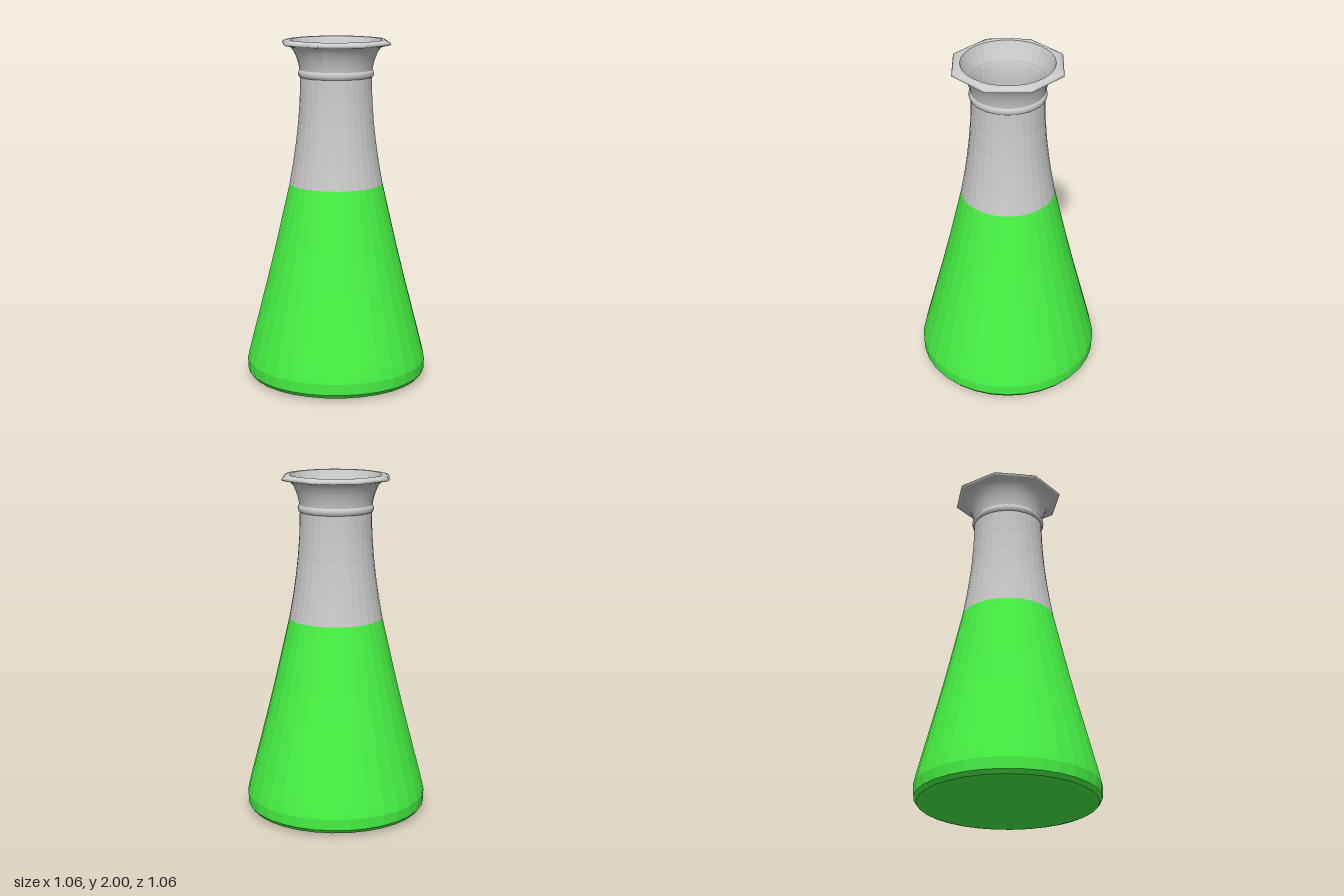
import * as THREE from 'three';

const SIDES = 32;
const grey = { color: 0xcccccc };

// Spins a profile of [radius, height] points round the y axis
function lathe(name, profile, options) {
  const geometry = new THREE.LatheGeometry(profile.map(([r, y]) => new THREE.Vector2(r, y)), SIDES);
  const mesh = new THREE.Mesh(geometry, new THREE.MeshStandardMaterial(options));
  mesh.name = name;
  return mesh;
}

// Pulls the outer rim of the lip into an octagon with corners on the axes
function makeOctagonal(geometry, inner, outer) {
  const pos = geometry.attributes.position;
  const eighth = Math.PI / 4;
  for (let i = 0; i < pos.count; i++) {
    const x = pos.getX(i), z = pos.getZ(i);
    const r = Math.hypot(x, z);
    if (r <= inner) continue;
    const angle = Math.atan2(x, z) + 2 * Math.PI + 1e-6;
    const shape = Math.cos(eighth / 2) / Math.cos((angle % eighth) - eighth / 2);
    const t = Math.min(1, (r - inner) / (outer - inner));
    const scale = 1 + (shape - 1) * t;
    pos.setX(i, x * scale);
    pos.setZ(i, z * scale);
  }
  geometry.computeVertexNormals();
}

export function createModel() {
  const flask = new THREE.Group();
  flask.name = 'flask';

  // Green conical body, closed by the flat liquid surface
  flask.add(lathe('liquidBody', [
    [0, 0.005], [0.34, 0.007], [0.48, 0.014], [0.508, 0.022], [0.526, 0.045],
    [0.529, 0.11], [0.518, 0.16], [0.503, 0.22], [0.405, 0.6], [0.356, 0.8],
    [0.31, 1.0], [0.272, 1.165], [0, 1.165],
  ], { color: 0x48f545, flatShading: true }));

  // Clear neck above the liquid
  const neck = [
    [0.272, 1.165], [0.25, 1.29], [0.234, 1.4], [0.22, 1.52],
    [0.211, 1.64], [0.208, 1.72], [0.207, 1.79],
  ];
  flask.add(lathe('neck', neck, { ...grey, flatShading: true }));

  // Rounded bead at the top of the neck
  flask.add(lathe('neckBead', [
    [0.207, 1.785], [0.214, 1.79], [0.219, 1.805], [0.216, 1.82], [0.207, 1.83],
  ], grey));

  // Flared mouth with a thin octagonal lip
  const mouth = lathe('mouthLip', [
    [0.207, 1.79], [0.21, 1.83], [0.217, 1.865], [0.228, 1.9], [0.243, 1.935],
    [0.262, 1.958], [0.29, 1.966], [0.318, 1.971], [0.329, 1.978], [0.321, 1.988],
    [0.298, 1.997], [0.28, 2.0], [0.263, 1.998],
  ], grey);
  makeOctagonal(mouth.geometry, 0.265, 0.32);
  flask.add(mouth);

  // Inside wall, from the rim down to the liquid
  const inner = [[0.263, 1.998], [0.25, 1.965], [0.236, 1.935], [0.22, 1.9], [0.211, 1.865], [0.206, 1.83]];
  for (const [r, y] of [...neck].reverse()) inner.push([r - 0.003, y]);
  flask.add(lathe('innerWall', inner, { ...grey, flatShading: true }));

  return flask;
}
